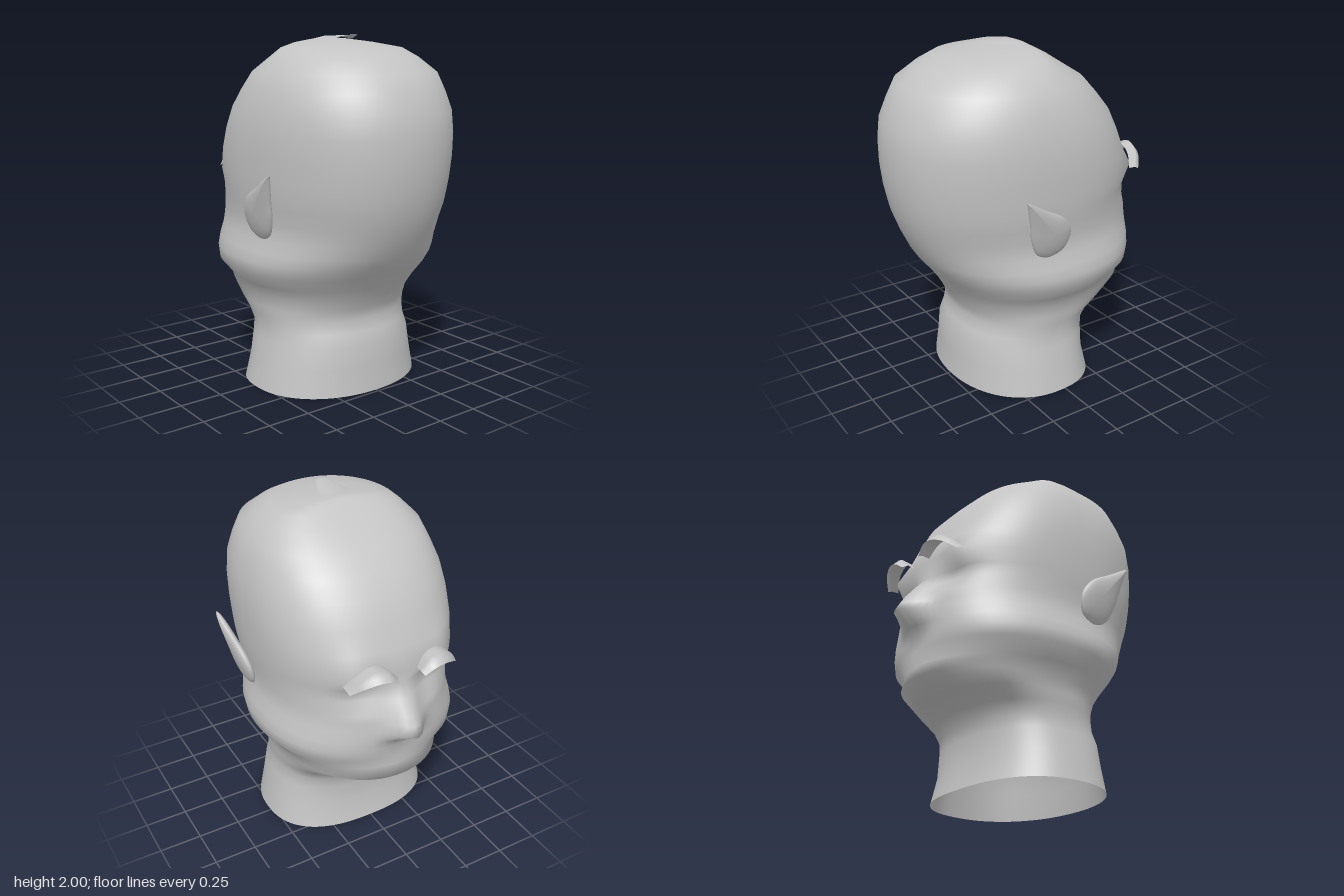
import * as THREE from 'three';
import { ParametricGeometry } from 'three/addons/geometries/ParametricGeometry.js';

const clay = new THREE.MeshStandardMaterial({ color: 0xc4c4c4, side: THREE.DoubleSide });
clay.name = 'grey clay';

const bell = (d, w) => Math.exp(-(d / w) * (d / w));

// Cross-sections, neck to crown: y, back z, widest z, face z, half width
const rings = [
  [0.00, 0.48, 0.05, -0.345, 0.525],
  [0.15, 0.465, 0.05, -0.31, 0.495],
  [0.28, 0.46, 0.05, -0.315, 0.47],
  [0.35, 0.43, 0.04, -0.325, 0.455],
  [0.42, 0.41, 0.02, -0.37, 0.468],
  [0.48, 0.425, 0, -0.50, 0.475],
  [0.55, 0.46, -0.02, -0.655, 0.485],
  [0.62, 0.50, -0.02, -0.635, 0.53],
  [0.70, 0.56, -0.02, -0.655, 0.59],
  [0.77, 0.615, 0, -0.66, 0.595],
  [0.83, 0.655, 0, -0.665, 0.58],
  [0.90, 0.69, 0.01, -0.665, 0.558],
  [0.95, 0.715, 0.02, -0.663, 0.552],
  [1.00, 0.735, 0.03, -0.66, 0.55],
  [1.08, 0.765, 0.05, -0.64, 0.56],
  [1.15, 0.78, 0.06, -0.62, 0.57],
  [1.23, 0.797, 0.07, -0.64, 0.575],
  [1.35, 0.81, 0.09, -0.60, 0.58],
  [1.48, 0.81, 0.12, -0.54, 0.577],
  [1.60, 0.795, 0.15, -0.48, 0.56],
  [1.70, 0.75, 0.16, -0.395, 0.53],
  [1.80, 0.70, 0.16, -0.30, 0.49],
  [1.88, 0.585, 0.14, -0.17, 0.41],
  [1.932, 0.48, 0.10, -0.085, 0.345],
  [1.960, 0.27, 0.05, -0.035, 0.24],
  [1.980, 0.10, 0.03, -0.005, 0.10],
];

// Closed loops joined into one smooth skin, open at the neck
function skullGeometry() {
  const around = 120, pos = [], idx = [];
  for (const [y, back, mid, front, width] of rings) {
    // Square neck and forehead, rounder chin and cheeks
    const square = 2.5 - 0.45 * bell(y - 0.6, 0.1) - 0.3 * bell(y - 1.0, 0.3);
    const nose = 0.14 * Math.max(0, 1 - (y - 0.9) / (y > 0.9 ? 0.25 : -0.09));
    for (let i = 0; i < around; i++) {
      const a = (i / around) * Math.PI * 2, c = Math.cos(a), s = Math.sin(a);
      const p = 2 / (s < 0 ? square : 2.15);
      const x = width * Math.sign(c) * Math.abs(c) ** p;
      let z = mid + (s < 0 ? front - mid : back - mid) * Math.abs(s) ** p;
      if (s < 0) {
        z -= nose * bell(x, 0.085 + 0.02 * bell(y - 0.88, 0.06)); // nose
        z += 0.05 * bell(Math.abs(x) - 0.2, 0.11) * bell(y - 1.12, 0.06); // eye sockets
        z -= 0.045 * bell(Math.abs(x) - 0.27, 0.1) * bell(y - 1.23, 0.07); // brow ridge
        z += 0.015 * bell(x, 0.16) * bell(y - 0.76, 0.03); // mouth
      }
      pos.push(x, y, z);
    }
  }
  const last = (rings.length - 1) * around;
  for (let a = 0; a < last; a += around) {
    for (let i = 0; i < around; i++) {
      const j = (i + 1) % around, b = a + around;
      idx.push(a + i, b + i, a + j, a + j, b + i, b + j);
    }
  }
  const apex = pos.length / 3;
  pos.push(0, 1.986, 0.03);
  for (let i = 0; i < around; i++) idx.push(last + i, apex, last + ((i + 1) % around));
  return finish(pos, idx);
}

function finish(pos, idx) {
  const g = new THREE.BufferGeometry();
  g.setAttribute('position', new THREE.Float32BufferAttribute(pos, 3));
  g.setIndex(idx);
  g.computeVertexNormals();
  return g;
}

// Pointed leaf-shaped ear: an outline in the z-y plane, swollen sideways and leaning out at the tip
function earGeometry(side) {
  const outline = new THREE.CatmullRomCurve3([
    [0.355, 1.29], [0.22, 1.215], [0.09, 1.14], [0.035, 1.05], [0.06, 0.945], [0.15, 0.908],
    [0.235, 0.94], [0.285, 1.03], [0.315, 1.15], [0.35, 1.275],
  ].map(([z, y]) => new THREE.Vector3(0, y, z)), true, 'centripetal');
  return new ParametricGeometry((u, v, out) => {
    const p = outline.getPoint(u % 1), r = Math.sin(v * Math.PI);
    const z = 0.16 + (p.z - 0.16) * r, y = 1.06 + (p.y - 1.06) * r;
    const x = 0.55 + (y - 0.91) * 0.23 + 0.035 * Math.cos(v * Math.PI);
    out.set(side * x, y, z);
  }, 40, 16);
}

// Arched brow: a thin ribbon that curls forward from the forehead
function browGeometry(side) {
  const curve = (pts) => new THREE.CatmullRomCurve3(pts.map((p) => new THREE.Vector3(...p)));
  const edges = [
    curve([[0.075, 1.24, -0.65], [0.13, 1.30, -0.635], [0.2, 1.315, -0.625], [0.27, 1.28, -0.615], [0.335, 1.21, -0.58]]),
    curve([[0.07, 1.245, -0.69], [0.13, 1.305, -0.695], [0.2, 1.32, -0.69], [0.27, 1.285, -0.675], [0.34, 1.21, -0.62]]),
    curve([[0.08, 1.225, -0.725], [0.14, 1.265, -0.74], [0.2, 1.27, -0.735], [0.27, 1.245, -0.705], [0.335, 1.195, -0.65]]),
  ];
  return new ParametricGeometry((u, v, out) => {
    const k = v < 0.5 ? 0 : 1;
    out.lerpVectors(edges[k].getPoint(u), edges[k + 1].getPoint(u), v * 2 - k);
    out.x *= side;
  }, 20, 4);
}

// Small dart-shaped tuft lying back over the crown
function tuftGeometry() {
  const pos = [
    -0.12, 1.982, 0.06, -0.04, 1.994, 0.04, 0.04, 1.994, 0.04, 0.12, 1.982, 0.06,
    -0.03, 2.0, 0.25, 0.03, 2.0, 0.25, 0, 2.0, 0.275,
    -0.08, 1.978, 0.14, 0.08, 1.978, 0.14,
  ];
  const idx = [1, 4, 2, 2, 4, 5, 4, 6, 5, 0, 7, 1, 1, 7, 4, 2, 5, 8, 2, 8, 3];
  return finish(pos, idx);
}

export function createModel() {
  const model = new THREE.Group();
  model.name = 'head';
  const add = (name, geometry) => {
    const mesh = new THREE.Mesh(geometry, clay);
    mesh.name = name;
    model.add(mesh);
  };
  add('headAndNeck', skullGeometry());
  for (const [label, side] of [['left', 1], ['right', -1]]) {
    add(label + 'Ear', earGeometry(side));
    add(label + 'Brow', browGeometry(side));
  }
  add('crownTuft', tuftGeometry());
  return model;
}
